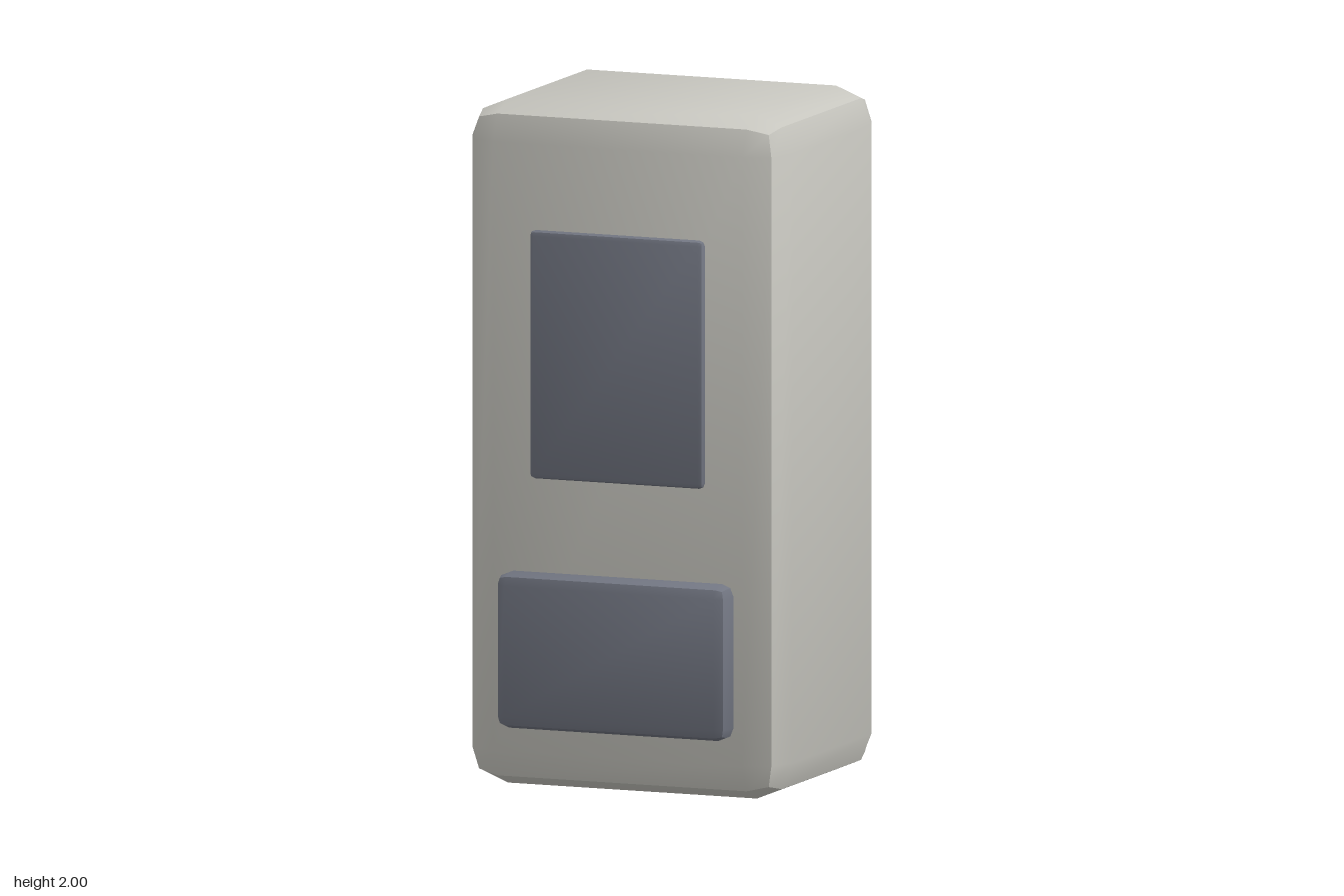
import * as THREE from 'three';
import { RoundedBoxGeometry } from 'three/addons/geometries/RoundedBoxGeometry.js';
import { toCreasedNormals } from 'three/addons/utils/BufferGeometryUtils.js';

export function createModel() {
  const model = new THREE.Group();
  model.name = 'cabinet';

  const casing = new THREE.MeshStandardMaterial({ name: 'warm grey casing', color: 0xc8c7c0 });
  const panel = new THREE.MeshStandardMaterial({ name: 'slate panel', color: 0x727682 });

  // Box with bevelled edges, given by its size, centre height and front plane
  function addBlock(name, [w, h, d], y, front, radius, material) {
    const geometry = toCreasedNormals(new RoundedBoxGeometry(w, h, d, 1, radius), 0.6);
    const mesh = new THREE.Mesh(geometry, material);
    mesh.name = name;
    mesh.position.set(0, y, front - d / 2);
    model.add(mesh);
  }

  // Main casing
  addBlock('body', [1, 2, 0.814], 1, 0.374, 0.11, casing);

  // Flat panel above, thicker block below
  addBlock('upperPanel', [0.546, 0.726, 0.06], 1.277, 0.392, 0.016, panel);
  addBlock('lowerPanel', [0.726, 0.455, 0.12], 0.412, 0.44, 0.036, panel);

  return model;
}
